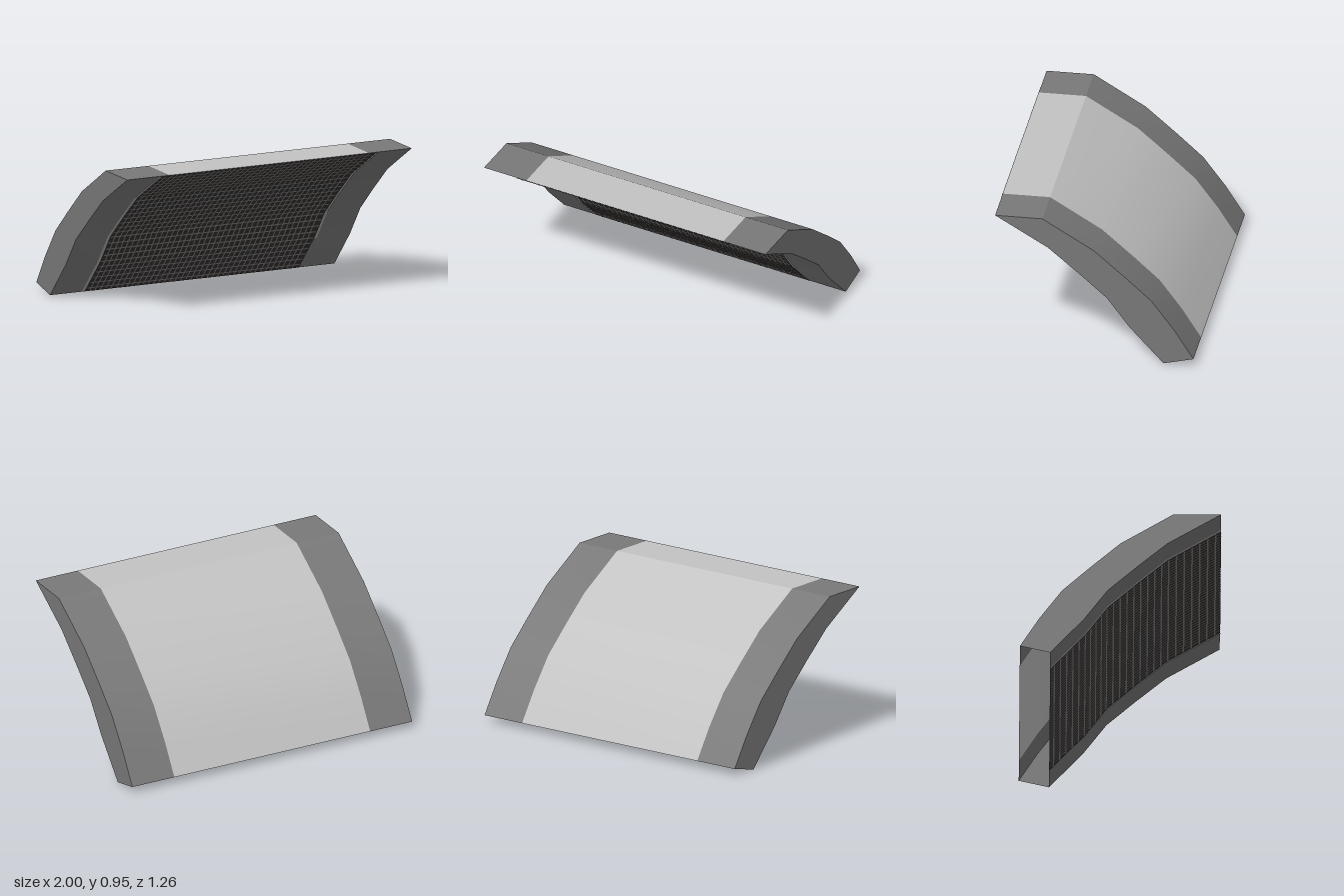
import * as THREE from 'three';

const material = (name, color) =>
  new THREE.MeshStandardMaterial({ name, color, side: THREE.DoubleSide });

// Profiles as [z, y]: back runs downwards, underside runs upwards
const BACK = [[0.33, 0.955], [0, 0.755], [-0.195, 0.585], [-0.365, 0.43], [-0.51, 0.235], [-0.63, 0.045]];
const UNDER = [[-0.44, 0], [-0.225, 0.235], [-0.08, 0.43], [0.1, 0.59], [0.295, 0.755], [0.63, 0.955]];
const TOP = [[0.63, 0.955], [0.33, 0.955]];

// Sheet swept across x along a profile, smooth along the curve
function sheet(profile, x0, x1) {
  const positions = [], index = [];
  profile.forEach(([z, y], i) => {
    positions.push(x0, y, z, x1, y, z);
    if (i) {
      const a = 2 * i - 2;
      index.push(a, a + 1, a + 2, a + 1, a + 3, a + 2);
    }
  });
  const g = new THREE.BufferGeometry();
  g.setAttribute('position', new THREE.Float32BufferAttribute(positions, 3));
  g.setIndex(index);
  g.computeVertexNormals();
  return g;
}

// Underside profile moved slightly outwards (forward and down)
const raised = (d) => UNDER.map(([z, y]) => [z + d * 0.7, y - d * 0.7 * (y > 0 ? 1 : 0)]);

// Point at a distance along a profile
function pointAt(profile, s) {
  for (let i = 1; i < profile.length; i++) {
    const [a, b] = [profile[i - 1], profile[i]];
    const len = Math.hypot(b[0] - a[0], b[1] - a[1]);
    if (s <= len || i === profile.length - 1) {
      const t = Math.min(s / len, 1);
      return [a[0] + (b[0] - a[0]) * t, a[1] + (b[1] - a[1]) * t];
    }
    s -= len;
  }
}

export function createModel() {
  const light = material('light grey', 0xc2c2c2);
  const grey = material('mid grey', 0x787878);
  const dark = material('dark grille', 0x332f2d);
  const trim = material('trim grey', 0xa8a8a8);

  const model = new THREE.Group();
  model.name = 'curvedPanel';
  const add = (name, geometry, mat, parent = model) => {
    const mesh = new THREE.Mesh(geometry, mat);
    mesh.name = name;
    parent.add(mesh);
  };

  // Back and top skins: pale centre between two grey bands
  for (const [name, profile] of [['back', BACK], ['top', TOP]]) {
    add(name + 'Centre', sheet(profile, -0.7, 0.7), light);
    add(name + 'RightBand', sheet(profile, -1, -0.7), grey);
    add(name + 'LeftBand', sheet(profile, 0.7, 1), grey);
  }

  // Underside skin; the lower edge stays open
  add('underside', sheet(UNDER, -1, 1), grey);

  // End caps
  const outline = new THREE.Shape([...BACK, ...UNDER].map(([z, y]) => new THREE.Vector2(-z, y)));
  for (const side of [-1, 1]) {
    const cap = new THREE.ShapeGeometry(outline);
    cap.rotateY(Math.PI / 2);
    cap.translate(side, 0, 0);
    if (side < 0) {
      // Turn the far cap outwards
      cap.setIndex(Array.from(cap.index.array).reverse());
      cap.computeVertexNormals();
    }
    add(side < 0 ? 'rightEnd' : 'leftEnd', cap, grey);
  }

  // Dark grille plate under the curve
  const grille = new THREE.Group();
  grille.name = 'grille';
  model.add(grille);
  add('grillePlate', sheet(raised(0.003), -0.76, 0.75), dark, grille);

  // Fine lattice: upright ribs and cross ribs
  const face = raised(0.005);
  for (let x = -0.725; x < 0.73; x += 0.0375) {
    add('uprightRib', sheet(face, x - 0.004, x + 0.004), grey, grille);
  }
  for (let s = 0.03; s < 1.42; s += 0.057) {
    const row = [pointAt(face, s), pointAt(face, s + 0.011)];
    add('crossRib', sheet(row, -0.75, 0.74), grey, grille);
  }

  // Narrow trim beside the grille
  add('rightTrim', sheet(raised(0.004), -0.778, -0.76), trim);
  add('leftTrim', sheet(raised(0.004).slice(1), 0.75, 0.765), trim);

  return model;
}
